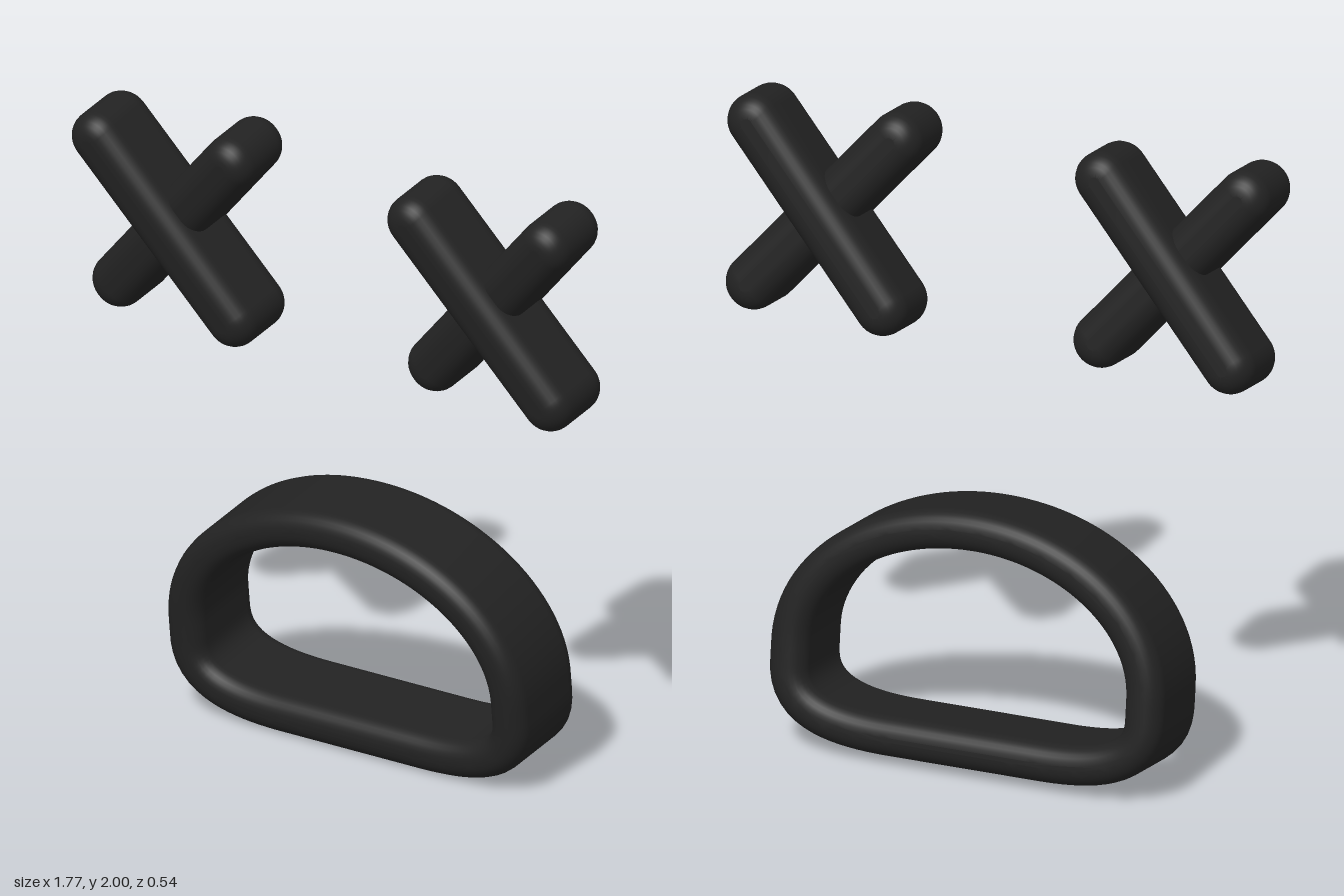
import * as THREE from 'three';
import { mergeVertices } from 'three/addons/utils/BufferGeometryUtils.js';

const TILT = 0.12; // everything leans forward at the top

const black = new THREE.MeshStandardMaterial({ color: 0x222222 });
black.name = 'black';

// Extrude a shape to a total depth, centred on z, with rounded smooth edges
function roundedExtrude(shape, depth, round) {
  const geo = new THREE.ExtrudeGeometry(shape, {
    depth: depth - 2 * round,
    bevelEnabled: true,
    bevelSize: round,
    bevelThickness: round,
    bevelOffset: -round,
    bevelSegments: 7,
    curveSegments: 16,
  });
  geo.translate(0, 0, round - depth / 2);
  geo.deleteAttribute('uv');
  geo.deleteAttribute('normal');
  const smooth = mergeVertices(geo, 1e-5);
  smooth.computeVertexNormals();
  return smooth;
}

// Upright bar with round ends
function barShape(halfLength, r) {
  const s = new THREE.Shape();
  s.moveTo(r, -halfLength);
  s.lineTo(r, halfLength);
  s.absarc(0, halfLength, r, 0, Math.PI, false);
  s.lineTo(-r, -halfLength);
  s.absarc(0, -halfLength, r, Math.PI, 2 * Math.PI, false);
  return s;
}

// D-shaped ring: a centre line offset to both sides
function ringShape(halfWidth) {
  const path = new THREE.Path();
  const w = 0.587, top = 0.345, bottom = -0.337;
  path.moveTo(-0.25, bottom);
  path.lineTo(0.25, bottom);
  path.bezierCurveTo(0.47, bottom, w, -0.29, w, -0.16);
  path.lineTo(w, -0.09);
  path.bezierCurveTo(w, 0.15, 0.325, top, 0, top);
  path.bezierCurveTo(-0.325, top, -w, 0.15, -w, -0.09);
  path.lineTo(-w, -0.16);
  path.bezierCurveTo(-w, -0.29, -0.47, bottom, -0.25, bottom);
  const pts = path.getSpacedPoints(120).slice(0, -1);
  const n = pts.length;
  const offset = (d) => pts.map((p, i) => {
    const t = pts[(i + 1) % n].clone().sub(pts[(i + n - 1) % n]).normalize();
    return new THREE.Vector2(p.x + t.y * d, p.y - t.x * d);
  });
  const shape = new THREE.Shape(offset(halfWidth));
  shape.holes.push(new THREE.Path(offset(-halfWidth)));
  return shape;
}

export function createModel() {
  const model = new THREE.Group();
  model.name = 'face';

  // Crossed-bar eyes; the bar falling to the right sits in front on both
  const barGeo = roundedExtrude(barShape(0.343, 0.085), 0.262, 0.066);
  const lean = Math.atan2(0.225, 0.26);
  for (const [name, x] of [['leftEye', 0.575], ['rightEye', -0.575]]) {
    const eye = new THREE.Group();
    eye.name = name;
    for (const [barName, side] of [['frontBar', 1], ['backBar', -1]]) {
      const bar = new THREE.Mesh(barGeo, black);
      bar.name = barName;
      bar.rotation.z = side * lean;
      bar.position.z = side * 0.025;
      eye.add(bar);
    }
    eye.position.set(x, 1.647, 0.08);
    eye.rotation.x = TILT;
    model.add(eye);
  }

  // Open mouth ring
  const mouth = new THREE.Mesh(roundedExtrude(ringShape(0.062), 0.325, 0.055), black);
  mouth.name = 'mouth';
  mouth.position.set(0, 0.41, -0.066);
  mouth.rotation.x = TILT;
  model.add(mouth);

  return model;
}
